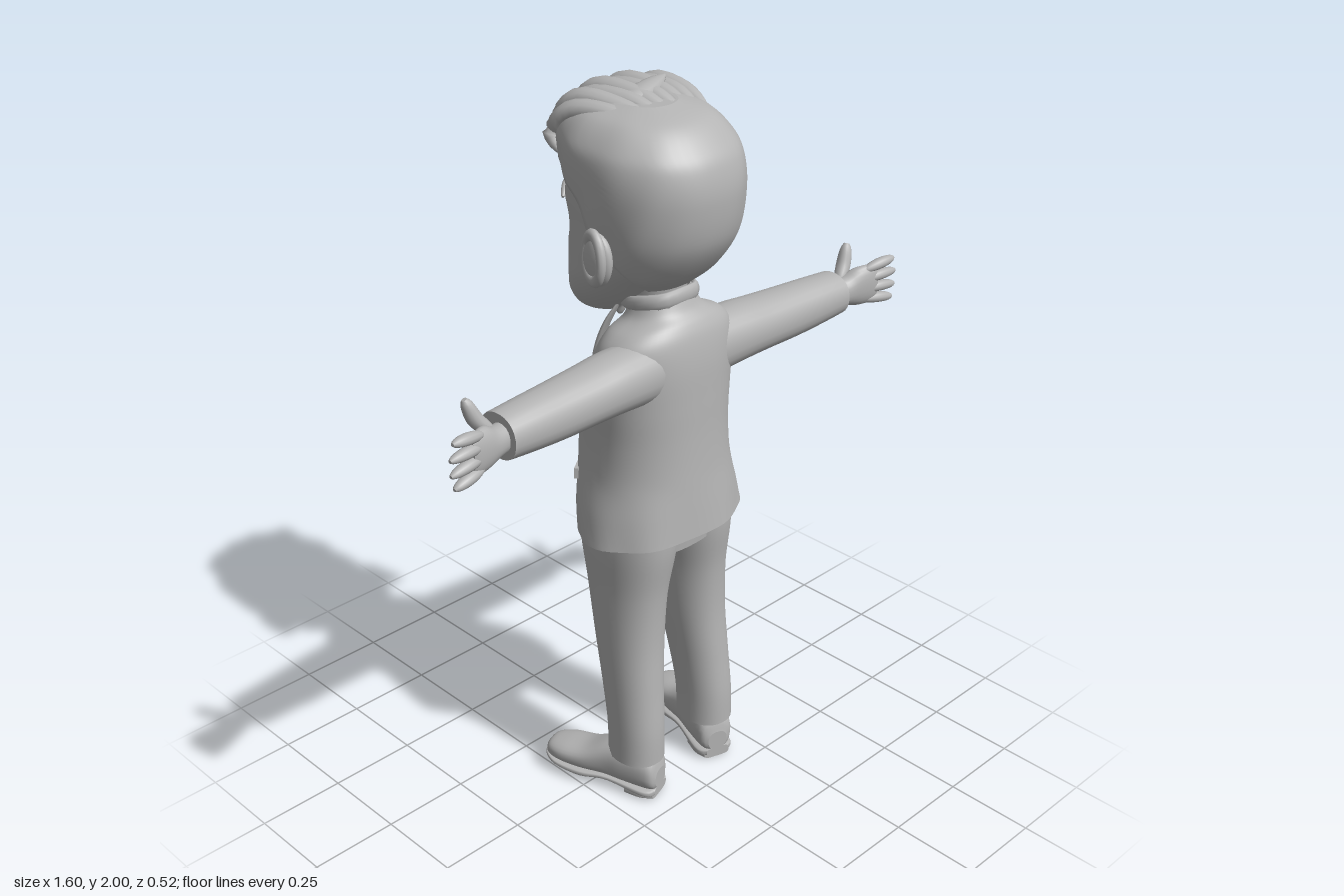
import * as THREE from 'three';

const grey = new THREE.MeshStandardMaterial({ color: 0xb4b4b4 });
grey.name = 'clay grey';
const V = (x, y, z) => new THREE.Vector3(x, y, z);
const TAU = Math.PI * 2;
const gauss = (x, s) => Math.exp(-(x * x) / (2 * s * s));

// Smoothly interpolates a table of key sections into n + 1 sections
function smooth(rows, n) {
  const out = [];
  for (let i = 0; i <= n; i++) {
    const f = (i / n) * (rows.length - 1), k = Math.min(Math.floor(f), rows.length - 2), t = f - k;
    const a = rows[Math.max(k - 1, 0)], b = rows[k], c = rows[k + 1], d = rows[Math.min(k + 2, rows.length - 1)];
    out.push(b.map((p, j) => {
      const m0 = (c[j] - a[j]) / 2, m1 = (d[j] - p) / 2, t2 = t * t, t3 = t2 * t;
      return (2 * t3 - 3 * t2 + 1) * p + (t3 - 2 * t2 + t) * m0 + (3 * t2 - 2 * t3) * c[j] + (t3 - t2) * m1;
    }));
  }
  return out;
}

// Skins closed rings, capping each end with a ladder of quads; faces always point outward
function loft(rings) {
  const m = rings[0].length, pos = [], idx = [];
  const quad = (a, b, c, d) => idx.push(a, b, c, a, c, d);
  rings.forEach(r => r.forEach(p => pos.push(p.x, p.y, p.z)));
  for (let i = 0; i < rings.length - 1; i++)
    for (let j = 0; j < m; j++) {
      const k = (j + 1) % m;
      quad(i * m + j, i * m + k, (i + 1) * m + k, (i + 1) * m + j);
    }
  [0, rings.length - 1].forEach((r, end) => {
    const base = pos.length / 3;
    rings[r].forEach(p => pos.push(p.x, p.y, p.z));
    for (let j = 0; j < m / 2 - 1; j++) {
      const q = [base + j, base + m - 1 - j, base + m - 2 - j, base + j + 1];
      if (end) q.reverse();
      quad(...q);
    }
  });
  const P = i => V(pos[i * 3], pos[i * 3 + 1], pos[i * 3 + 2]);
  let vol = 0;
  for (let i = 0; i < idx.length; i += 3) vol += P(idx[i]).dot(P(idx[i + 1]).cross(P(idx[i + 2])));
  if (vol < 0) idx.reverse();
  const g = new THREE.BufferGeometry();
  g.setAttribute('position', new THREE.Float32BufferAttribute(pos, 3));
  g.setIndex(idx);
  g.computeVertexNormals();
  return g;
}

// Superellipse ring around c spanned by u and v
function ring(c, u, v, n = 2, m = 24) {
  return Array.from({ length: m }, (_, j) => {
    const a = ((j + 0.5) / m) * TAU, p = t => Math.sign(t) * Math.abs(t) ** (2 / n);
    return c.clone().addScaledVector(u, p(Math.cos(a))).addScaledVector(v, p(Math.sin(a)));
  });
}

// Tapered strand along a curve, w wide and h thick; rounded or pointed at the ends
function strand(points, w, h, up = V(0, 1, 0), blunt = 0.35) {
  const curve = new THREE.CatmullRomCurve3(points.map(p => V(...p))), rings = [], n = 16;
  for (let i = 0; i <= n; i++) {
    const t = i / n, c = curve.getPoint(t), d = curve.getTangent(t);
    const side = d.clone().cross(up).normalize(), nor = side.clone().cross(d).normalize();
    const k = Math.max(0.03, Math.sin(Math.PI * t)) ** blunt;
    rings.push(ring(c, side.multiplyScalar(w * k), nor.multiplyScalar(h * k), 2, 12));
  }
  return loft(rings);
}

// Shell open at the front: rows of [y, half width, front z, back z, gap angle]
function openShell(rows, n, inner, bend = () => 1, drop = 0) {
  const m = 48;
  return loft(smooth(rows, n).map(([y, rx, zf, zb, g]) => {
    const pt = (a, k) => {
      const s = Math.sin(a), c = Math.cos(a), r = k * bend(a, y);
      return V(rx * r * Math.sign(s) * Math.abs(s) ** 0.9, y - drop * c,
        (zf + zb) / 2 - ((zb - zf) / 2) * r * Math.sign(c) * Math.abs(c) ** 0.9);
    };
    const angles = Array.from({ length: m + 1 }, (_, i) => g + (i / m) * (TAU - 2 * g));
    return [...angles.map(a => pt(a, 1)), ...angles.reverse().map(a => pt(a, inner))];
  }));
}

export function createModel() {
  const model = new THREE.Group();
  model.name = 'suitedFigure';
  const add = (name, geo, parent = model) => {
    const mesh = new THREE.Mesh(geo, grey);
    mesh.name = name;
    parent.add(mesh);
    return mesh;
  };
  const ball = (name, p, s) => {
    const mesh = add(name, new THREE.SphereGeometry(1, 24, 16));
    mesh.position.set(...p);
    mesh.scale.set(...s);
    return mesh;
  };
  const vertical = (rows, n, e, m) => loft(smooth(rows, n).map(([y, rx, zf, zb]) =>
    ring(V(0, y, (zf + zb) / 2), V(rx, 0, 0), V(0, 0, (zb - zf) / 2), e, m)));

  // Head with sculpted face
  const head = vertical([
    [1.395, 0.03, -0.15, -0.08], [1.42, 0.1, -0.182, -0.04], [1.47, 0.15, -0.192, 0.03],
    [1.53, 0.18, -0.182, 0.1], [1.6, 0.193, -0.178, 0.18], [1.68, 0.198, -0.185, 0.225],
    [1.78, 0.2, -0.195, 0.24], [1.87, 0.185, -0.19, 0.23], [1.94, 0.13, -0.14, 0.17], [1.97, 0.04, -0.05, 0.08],
  ], 80, 2.2, 96);
  const bumps = [ // x, y, outward amount, x spread, y spread
    [0, 1.585, 0.05, 0.026, 0.026], [0, 1.65, 0.02, 0.02, 0.045],
    [0.075, 1.665, -0.024, 0.04, 0.026], [-0.075, 1.665, -0.024, 0.04, 0.026],
    [0.08, 1.725, 0.012, 0.05, 0.016], [-0.08, 1.725, 0.012, 0.05, 0.016],
    [0.1, 1.6, 0.012, 0.035, 0.03], [-0.1, 1.6, 0.012, 0.035, 0.03],
    [0, 1.515, -0.04, 0.04, 0.014], [0, 1.485, 0.012, 0.04, 0.012],
  ];
  const hp = head.attributes.position;
  for (let i = 0; i < hp.count; i++) {
    const x = hp.getX(i), y = hp.getY(i), z = hp.getZ(i);
    if (z > -0.06) continue;
    const f = Math.min(1, (-0.06 - z) / 0.05);
    hp.setZ(i, z - f * bumps.reduce((s, [bx, by, a, sx, sy]) => s + a * gauss(x - bx, sx) * gauss(y - by, sy), 0));
  }
  head.computeVertexNormals();
  add('head', head);

  // Eyes, brows, moustache and ears
  for (const s of [-1, 1]) {
    ball('eye', [0.073 * s, 1.665, -0.145], [0.032, 0.022, 0.024]);
    add('eyebrow', strand([[0.03 * s, 1.715, -0.2], [0.08 * s, 1.735, -0.195], [0.13 * s, 1.71, -0.165]], 0.012, 0.012, V(0, 0, 1)));
    add('moustache', strand([[0, 1.55, -0.185], [0.045 * s, 1.545, -0.185], [0.085 * s, 1.515, -0.165]], 0.015, 0.014, V(0, 0, 1)));
    ball('ear', [0.208 * s, 1.625, 0.045], [0.024, 0.07, 0.048]);
    const rim = add('earRim', new THREE.TorusGeometry(0.046, 0.013, 10, 28));
    rim.position.set(0.222 * s, 1.632, 0.045);
    rim.rotation.y = Math.PI / 2 + 0.25 * s;
    rim.scale.set(0.85, 1.3, 1);
  }

  // Hair cap with combed ripples, and swept quiff locks
  add('hair', openShell([
    [1.52, 0.12, -0.1, 0.13, 2.35], [1.57, 0.175, -0.15, 0.185, 2.05], [1.66, 0.201, -0.18, 0.242, 1.55],
    [1.77, 0.212, -0.2, 0.26, 1.25], [1.85, 0.211, -0.215, 0.25, 0.5], [1.9, 0.195, -0.22, 0.222, 0.02],
    [1.95, 0.15, -0.19, 0.165, 0.01], [1.975, 0.08, -0.12, 0.08, 0.01],
  ], 48, 0.93, (a, y) => 1 + 0.014 * Math.sin(11 * a + 22 * y) * Math.max(0, Math.cos(a / 2 > Math.PI / 2 ? Math.PI - a / 2 : a / 2))));
  for (let i = 0; i < 8; i++) {
    const x = -0.15 + i * 0.041, k = 1 - (x / 0.2) ** 2, lift = 0.012 * (i % 2);
    add('quiffLock', strand([
      [x * 0.95, 1.83, -0.12 - 0.07 * k], [x + 0.012, 1.875 + lift, -0.145 - 0.09 * k],
      [x + 0.025, 1.925 + 0.025 * k + lift, -0.11 - 0.07 * k],
      [x * 0.9 + 0.035, 1.94 + 0.03 * k, -0.03], [x * 0.7 + 0.04, 1.925 + 0.02 * k, 0.08],
    ], 0.034, 0.026, V(0, 1, 0.3), 0.5));
  }
  add('topLock', strand([[-0.15, 1.9, -0.03], [-0.06, 1.95, -0.03], [0.03, 1.975, -0.04], [0.125, 1.993, -0.06]], 0.04, 0.022, V(0, 1, 0), 0.6));
  add('sideLock', strand([[0.1, 1.95, -0.1], [0.175, 1.92, -0.06], [0.208, 1.86, 0]], 0.035, 0.02, V(0, 1, 0.2), 0.6));

  // Neck, shirt and tie
  add('neck', vertical([[1.38, 0.09, -0.03, 0.14], [1.46, 0.07, -0.02, 0.12], [1.58, 0.075, -0.03, 0.13]], 12, 2, 32));
  add('shirt', vertical([
    [0.78, 0.19, -0.09, 0.18], [0.9, 0.2, -0.11, 0.19], [1.05, 0.185, -0.128, 0.19], [1.2, 0.185, -0.105, 0.185],
    [1.3, 0.185, -0.07, 0.18], [1.38, 0.15, -0.04, 0.165], [1.43, 0.09, -0.02, 0.13], [1.47, 0.075, -0.015, 0.12],
  ], 32, 2.2, 48));
  add('tie', strand([[0, 1.42, -0.035], [0, 1.3, -0.08], [0, 1.18, -0.118], [0, 1.0, -0.135]], 0.026, 0.008, V(0, 0, 1), 0.3));
  ball('tieKnot', [0, 1.415, -0.036], [0.024, 0.022, 0.016]);

  // Jacket, collar, lapels, pockets and button
  add('jacket', openShell([
    [0.82, 0.243, -0.125, 0.232, 0.3], [0.9, 0.23, -0.142, 0.225, 0.12], [1.0, 0.208, -0.152, 0.216, 0.04],
    [1.1, 0.202, -0.148, 0.21, 0.07], [1.2, 0.206, -0.127, 0.207, 0.22], [1.3, 0.21, -0.09, 0.203, 0.38],
    [1.37, 0.2, -0.058, 0.192, 0.5], [1.41, 0.165, -0.042, 0.175, 0.55], [1.44, 0.105, -0.025, 0.15, 0.55],
    [1.49, 0.08, -0.012, 0.128, 0.6],
  ], 54, 0.93, (a, y) => 1 + 0.02 * Math.sin(7 * a) * Math.max(0, (0.98 - y) / 0.16), 0.02));
  add('collar', strand([[0.065, 1.45, -0.03], [0.092, 1.475, 0.05], [0.06, 1.488, 0.118], [0, 1.492, 0.13],
    [-0.06, 1.488, 0.118], [-0.092, 1.475, 0.05], [-0.065, 1.45, -0.03]], 0.012, 0.024));
  for (const s of [-1, 1]) {
    add('shirtCollar', strand([[0.065 * s, 1.47, 0], [0.05 * s, 1.44, -0.035], [0.035 * s, 1.4, -0.052]], 0.022, 0.008, V(0, 0, 1)));
    add('lapel', strand([[0.075 * s, 1.46, -0.015], [0.088 * s, 1.38, -0.057], [0.078 * s, 1.28, -0.1],
      [0.045 * s, 1.16, -0.14], [0.012 * s, 1.04, -0.156]], 0.032, 0.009, V(0.35 * s, 0, -1), 0.5));
    const flap = add('pocketFlap', new THREE.BoxGeometry(0.1, 0.03, 0.012));
    flap.position.set(0.15 * s, 0.97, -0.1);
    flap.rotation.set(0, -0.65 * s, 0.08 * s);
  }
  ball('button', [0.01, 1.01, -0.155], [0.011, 0.011, 0.006]);

  for (const s of [-1, 1]) {
    const sided = ([x, y, z]) => [x * s, y, z];
    const along = (rows, n) => loft(smooth(rows, n).map(([x, y, z, ry, rz]) =>
      ring(V(x * s, y, z), V(0, ry, 0), V(0, 0, rz), 2.2)));

    // Sleeve and hand
    add('sleeve', along([[0.1, 1.315, 0.105, 0.085, 0.08], [0.22, 1.317, 0.105, 0.079, 0.083], [0.31, 1.315, 0.108, 0.074, 0.08],
      [0.42, 1.313, 0.113, 0.071, 0.074], [0.52, 1.314, 0.118, 0.066, 0.069], [0.605, 1.315, 0.121, 0.06, 0.064]], 30));
    add('palm', along([[0.58, 1.315, 0.125, 0.037, 0.035], [0.63, 1.315, 0.137, 0.04, 0.034], [0.67, 1.322, 0.152, 0.055, 0.029],
      [0.71, 1.325, 0.167, 0.056, 0.02], [0.728, 1.325, 0.173, 0.045, 0.012]], 16));
    [[0.792, 1.268], [0.8, 1.305], [0.8, 1.345], [0.79, 1.385]].forEach(([x, y], i) =>
      add('finger', strand([[0.685, 1.283 + i * 0.028, 0.163], [0.74, 1.278 + i * 0.034, 0.178], [x, y, 0.184]].map(sided), 0.017, 0.015)));
    add('thumb', strand([[0.625, 1.335, 0.125], [0.662, 1.375, 0.11], [0.685, 1.432, 0.1]].map(sided), 0.02, 0.021, V(0, 0, 1), 0.3));

    // Trouser leg
    add('trouserLeg', loft(smooth([
      [0.95, 0.1, 0.045, 0.105, 0.145], [0.8, 0.105, 0.042, 0.105, 0.147], [0.65, 0.114, 0.047, 0.09, 0.122],
      [0.5, 0.121, 0.06, 0.083, 0.104], [0.35, 0.13, 0.082, 0.075, 0.092], [0.22, 0.136, 0.1, 0.071, 0.085],
      [0.12, 0.138, 0.103, 0.071, 0.083],
    ], 36).map(([y, x, z, rx, rz]) => ring(V(x * s, y, z), V(rx, 0, 0), V(0, 0, rz), 2.2, 32))));

    // Shoe pointing outward, with a raised arch and a heel block
    const d = V(0.31 * s, 0, -0.95), across = V(0.95 * s, 0, 0.31);
    const shoe = (rows, n, e) => loft(smooth(rows, n).map(([t, hw, lo, hi]) =>
      ring(V(0.118 * s, (lo + hi) / 2, 0.18).addScaledVector(d, t), across.clone().multiplyScalar(hw), V(0, (hi - lo) / 2, 0), e)));
    add('shoe', shoe([[0, 0.03, 0.03, 0.09], [0.02, 0.052, 0.02, 0.14], [0.1, 0.056, 0.02, 0.155], [0.16, 0.055, 0.025, 0.14],
      [0.23, 0.061, 0.028, 0.108], [0.3, 0.06, 0.032, 0.096], [0.345, 0.042, 0.036, 0.084], [0.36, 0.015, 0.045, 0.065]], 32, 2.4));
    add('sole', shoe([[0, 0.035, 0.012, 0.035], [0.03, 0.057, 0.01, 0.035], [0.15, 0.054, 0.025, 0.042], [0.23, 0.066, 0.018, 0.042],
      [0.31, 0.062, 0.026, 0.045], [0.35, 0.04, 0.034, 0.05], [0.363, 0.015, 0.038, 0.05]], 28, 3.5));
    add('heel', shoe([[0.004, 0.04, 0, 0.03], [0.04, 0.054, 0, 0.03], [0.09, 0.052, 0, 0.03]], 8, 4));
  }
  return model;
}
